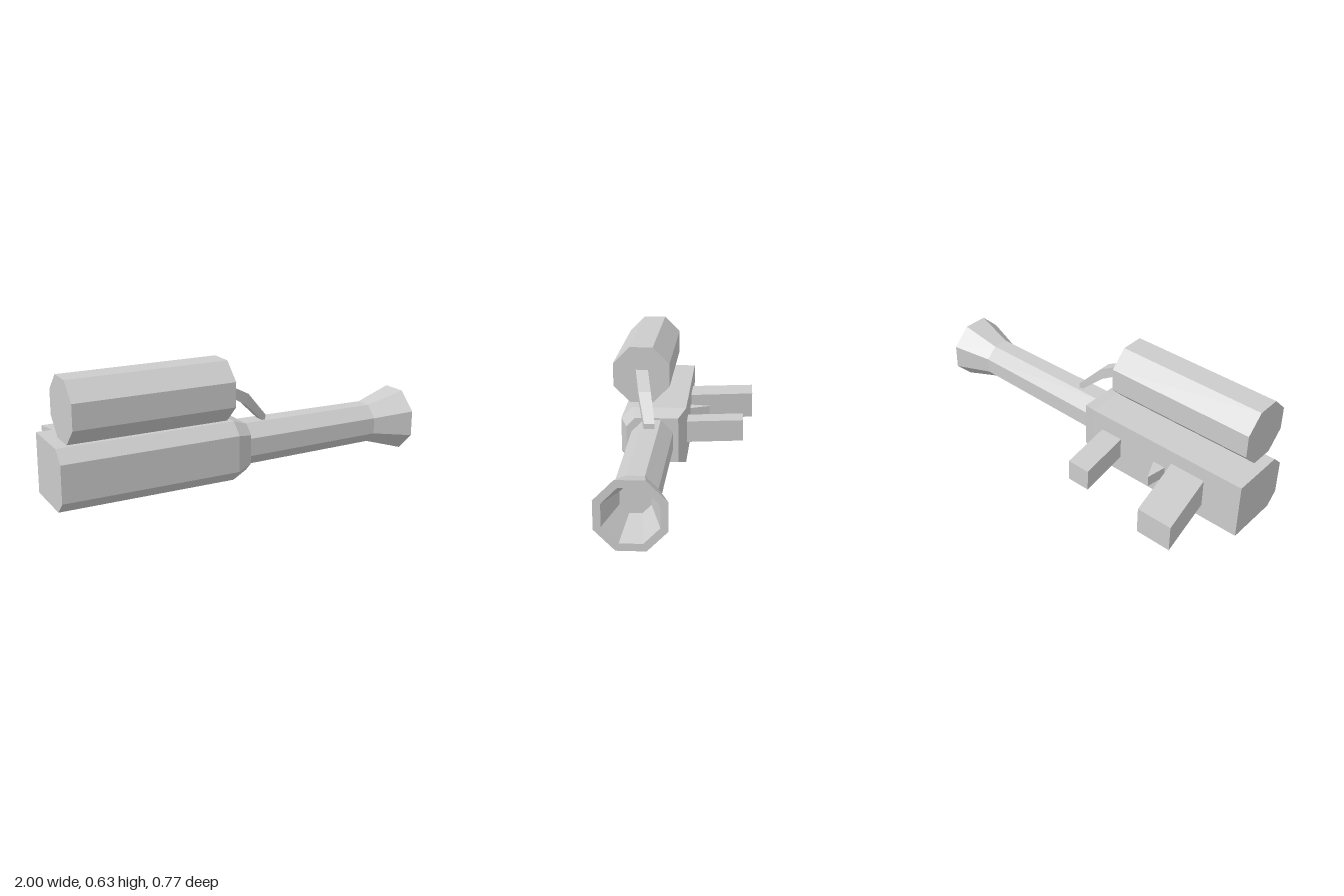
import * as THREE from 'three';

const steel = new THREE.MeshStandardMaterial({ color: 0xcccccc, flatShading: true });
steel.name = 'light grey';

// Closed solid through matching cross-sections, each a loop facing along the loft
function loft(sections) {
  const pos = [];
  const tri = (a, b, c) => pos.push(...a, ...b, ...c);
  const n = sections[0].length;
  for (let s = 0; s < sections.length - 1; s++) {
    const A = sections[s], B = sections[s + 1];
    for (let i = 0; i < n; i++) {
      const j = (i + 1) % n;
      tri(A[i], A[j], B[j]);
      tri(A[i], B[j], B[i]);
    }
  }
  const first = sections[0], last = sections[sections.length - 1];
  for (let i = 1; i < n - 1; i++) {
    tri(first[0], first[i + 1], first[i]);
    tri(last[0], last[i], last[i + 1]);
  }
  const geo = new THREE.BufferGeometry();
  geo.setAttribute('position', new THREE.Float32BufferAttribute(pos, 3));
  geo.computeVertexNormals();
  return geo;
}

// Eight-sided turned part along x; profile rows are [x, distance to flat]
function octagonal(profile) {
  const k = 1 / Math.cos(Math.PI / 8);
  const points = profile.map(([x, a]) => new THREE.Vector2(a * k, x));
  return new THREE.LatheGeometry(points, 8, Math.PI / 8).rotateZ(-Math.PI / 2);
}

// Rectangle in the xy plane at depth z, facing -z
const rect = (x0, x1, y, h, z) => [[x0, y + h, z], [x1, y + h, z], [x1, y - h, z], [x0, y - h, z]];

export function createModel() {
  const model = new THREE.Group();
  const device = new THREE.Group();
  device.name = 'device';
  device.rotation.y = -0.037;
  model.add(device);

  const add = (name, geometry, y = 0, z = 0) => {
    const mesh = new THREE.Mesh(geometry, steel);
    mesh.name = name;
    mesh.position.set(0, y, z);
    device.add(mesh);
  };
  const midY = 0.1625, midZ = 0.172;

  // Body: square at the back, bevelled on the front, narrowing towards the barrel
  const outline = [[-0.173, 0.1525], [0.113, 0.1525], [0.173, 0.0925],
    [0.173, -0.0925], [0.113, -0.1525], [-0.173, -0.1525]];
  const bodySection = (x, s) => outline.map(([z, y]) => [x, y * s, z * s]);
  add('body', loft([bodySection(-0.99, 1), bodySection(-0.08, 1), bodySection(0.006, 0.79)]), midY, midZ);

  // Barrel with flared, hollow muzzle
  add('barrel', octagonal([[-0.02, 0], [-0.02, 0.11], [0.79, 0.1025], [0.998, 0.1625],
    [0.998, 0.1275], [0.8, 0.0715], [0.8, 0]]), midY, midZ);

  // Tank above the body
  add('tank', octagonal([[-0.942, 0], [-0.942, 0.15], [-0.126, 0.15], [-0.126, 0]]), 0.48, 0.24);

  // Bent feed pipe from the tank to the barrel
  const pipeSection = (xt, yt, xb, yb, z0, z1) => [[xt, yt, z0], [xt, yt, z1], [xb, yb, z1], [xb, yb, z0]];
  add('feedPipe', loft([
    pipeSection(-0.13, 0.51, -0.13, 0.455, 0.205, 0.27),
    pipeSection(0.028, 0.43, 0.015, 0.375, 0.175, 0.24),
    pipeSection(0.151, 0.297, 0.151, 0.25, 0.145, 0.2),
  ]));

  // Grips and trigger on the back
  add('rearGrip', loft([rect(-0.782, -0.586, midY, 0.077, 0.004), rect(-0.854, -0.664, midY, 0.071, -0.357)]));
  add('foreGrip', loft([rect(-0.265, -0.14, midY, 0.058, 0.004), rect(-0.307, -0.182, midY, 0.058, -0.304)]));
  add('trigger', loft([rect(-0.551, -0.476, midY, 0.03, 0.004), rect(-0.532, -0.528, midY, 0.03, -0.11)]));

  return model;
}
